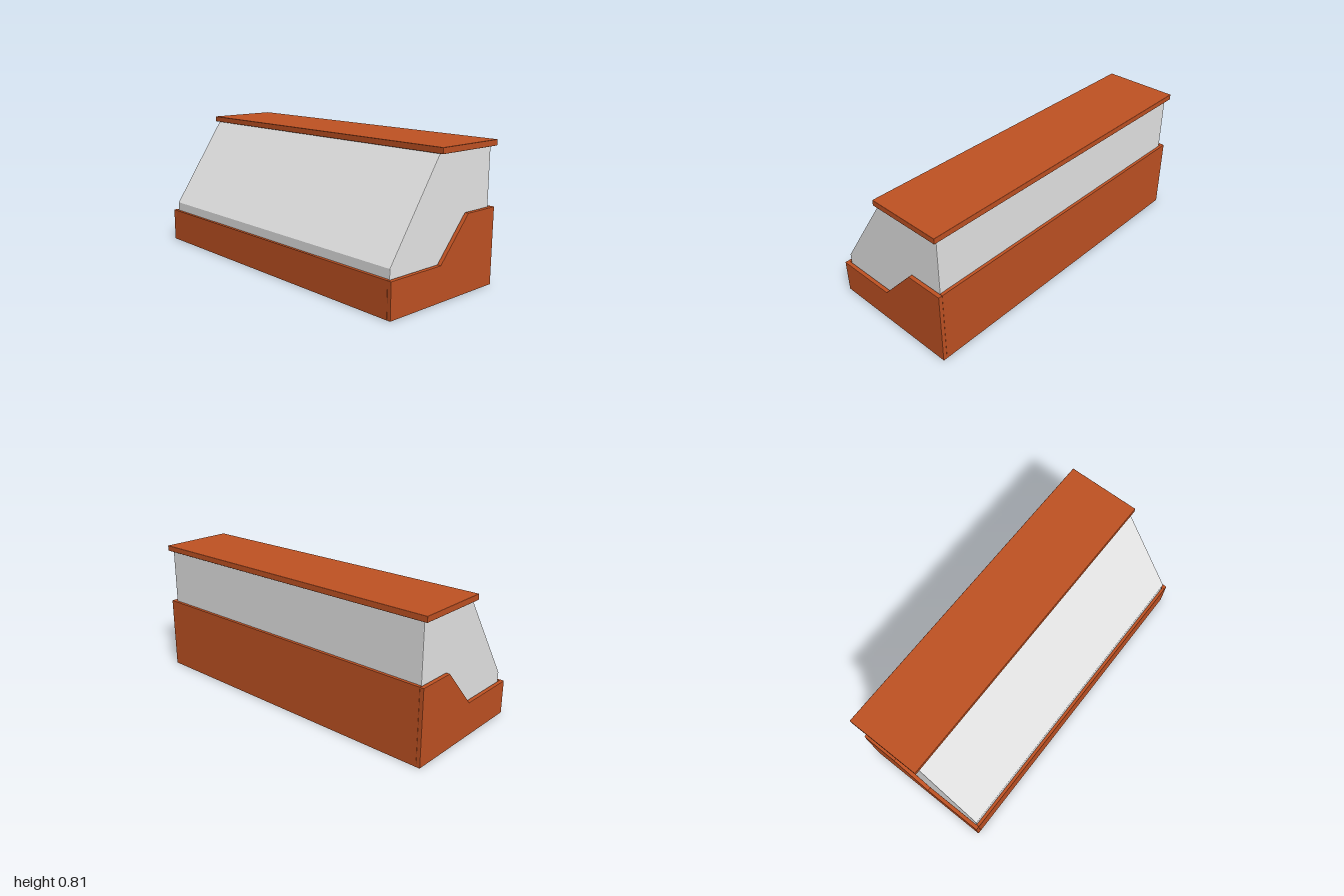
import * as THREE from 'three';
import { RoundedBoxGeometry } from 'three/addons/geometries/RoundedBoxGeometry.js';

const clay = new THREE.MeshStandardMaterial({ color: 0xc05223 });
clay.name = 'burnt orange';
const pale = new THREE.MeshStandardMaterial({ color: 0xe6e6e6 });
pale.name = 'pale grey';

// Extrudes a side profile of [z, y] points across x, centred on x = 0.
function extrudeProfile(points, width, bevel) {
  const shape = new THREE.Shape(points.map(([z, y]) => new THREE.Vector2(z, y)));
  const depth = width - 2 * bevel;
  const geometry = new THREE.ExtrudeGeometry(shape, {
    depth,
    bevelEnabled: bevel > 0,
    bevelThickness: bevel,
    bevelSize: bevel,
    bevelOffset: -bevel,
    bevelSegments: 2,
  });
  return geometry.translate(0, 0, -depth / 2).rotateY(-Math.PI / 2);
}

export function createModel() {
  const model = new THREE.Group();
  model.name = 'slopedDisplayCase';

  function add(name, geometry, material, x = 0, y = 0, z = 0) {
    const mesh = new THREE.Mesh(geometry, material);
    mesh.name = name;
    mesh.position.set(x, y, z);
    model.add(mesh);
  }

  // Stepped end panels of the base
  const wall = 0.024;
  const sideProfile = [
    [-0.41, 0], [0.41, 0], [0.41, 0.203], [0.035, 0.203], [-0.18, 0.445], [-0.41, 0.445],
  ];
  for (const side of [-1, 1]) {
    add(side > 0 ? 'leftPanel' : 'rightPanel',
      extrudeProfile(sideProfile, wall, 0.002), clay, side * (1 - wall / 2));
  }

  // Floor, low front wall and tall back wall between the end panels
  const inner = 2 - 2 * wall;
  add('floor', new THREE.BoxGeometry(inner, 0.03, 0.82), clay, 0, 0.015, 0);
  add('frontWall', new THREE.BoxGeometry(inner, 0.203, 0.018), clay, 0, 0.1015, 0.401);
  add('backWall', new THREE.BoxGeometry(inner, 0.445, 0.018), clay, 0, 0.2225, -0.401);

  // Hood with a sloping front, seated in the base
  const hoodProfile = [
    [-0.39, 0.032], [0.39, 0.032], [0.39, 0.256], [0.035, 0.785], [-0.39, 0.785],
  ];
  add('hood', extrudeProfile(hoodProfile, 1.944, 0.004), pale);

  // Overhanging flat lid
  add('lid', new RoundedBoxGeometry(2, 0.034, 0.46, 2, 0.003), clay, 0, 0.798, -0.18);

  return model;
}
